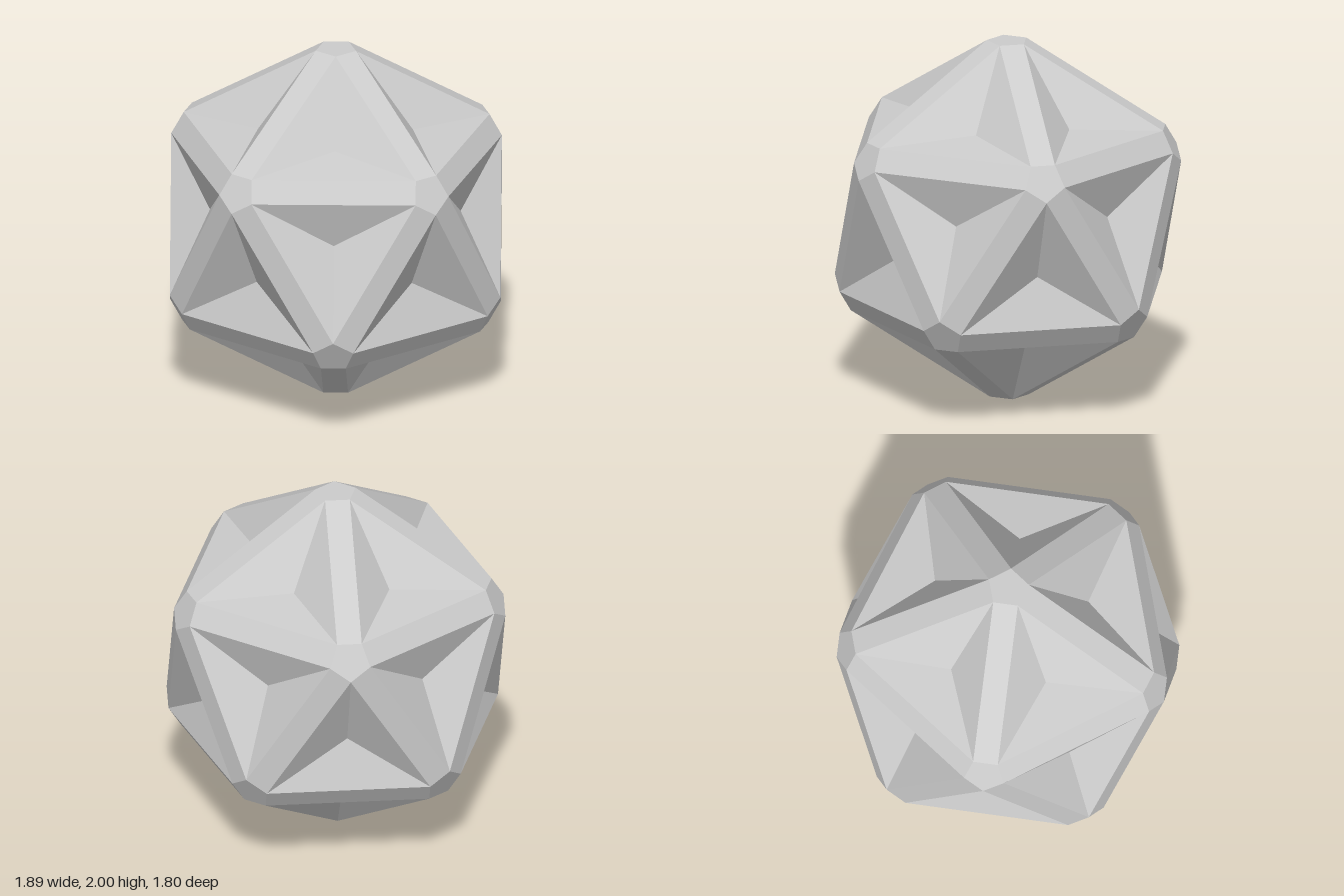
import * as THREE from 'three';

const CAP = 0.115;  // circumradius of the pentagonal corner caps
const PIT = 0.73;   // distance of each pit's bottom from the centre

// Flat-shaded mesh from convex polygons, each wound to face away from the centre
function polyMesh(name, polygons) {
  const pts = [];
  for (const poly of polygons) {
    for (let i = 1; i < poly.length - 1; i++) {
      const [a, b, c] = [poly[0], poly[i], poly[i + 1]];
      const n = b.clone().sub(a).cross(c.clone().sub(a));
      const mid = a.clone().add(b).add(c);
      pts.push(...(n.dot(mid) > 0 ? [a, b, c] : [a, c, b]));
    }
  }
  const geo = new THREE.BufferGeometry().setFromPoints(pts);
  geo.computeVertexNormals();
  const mesh = new THREE.Mesh(geo, new THREE.MeshStandardMaterial({ color: 0xcccccc, flatShading: true }));
  mesh.name = name;
  mesh.position.y = 1;
  return mesh;
}

export function createModel() {
  // Icosahedron corners: top, bottom, upper ring (2-6), lower ring (7-11)
  const ring = (y, turn) => Array.from({ length: 5 }, (_, i) => {
    const a = (i + turn) * Math.PI * 0.4, r = Math.sqrt(1 - y * y);
    return new THREE.Vector3(r * Math.cos(a), y, r * Math.sin(a));
  });
  const h = 1 / Math.sqrt(5);
  const verts = [new THREE.Vector3(0, 1, 0), new THREE.Vector3(0, -1, 0), ...ring(h, 0), ...ring(-h, 0.5)];
  const faces = [];
  for (let i = 0; i < 5; i++) {
    const j = (i + 1) % 5;
    faces.push([0, 2 + i, 2 + j], [2 + i, 2 + j, 7 + i], [7 + i, 7 + j, 2 + j], [1, 7 + i, 7 + j]);
  }

  const pits = [], strips = [], caps = [], edges = new Map();
  for (const face of faces) {
    const dir = new THREE.Vector3();
    face.forEach(k => dir.add(verts[k]));
    dir.normalize();
    // Pit corners lie on the cap planes, shifted toward the face centre
    const corners = face.map(k => verts[k].clone().addScaledVector(
      dir.clone().projectOnPlane(verts[k]).normalize(), CAP));
    const bottom = dir.clone().multiplyScalar(PIT);
    for (let e = 0; e < 3; e++) {
      const f = (e + 1) % 3;
      pits.push([corners[e], corners[f], bottom]);
      // Pair up the two faces that share this edge
      const [p, q] = face[e] < face[f] ? [e, f] : [f, e];
      const key = face[p] + '-' + face[q];
      const other = edges.get(key);
      if (!other) { edges.set(key, [corners[p], corners[q]]); continue; }
      strips.push([corners[p], corners[q], other[1], other[0]]);
      caps.push([verts[face[p]], corners[p], other[0]], [verts[face[q]], corners[q], other[1]]);
    }
  }

  const group = new THREE.Group();
  group.name = 'dimpledIcosahedron';
  group.add(polyMesh('facePits', pits), polyMesh('edgeStrips', strips), polyMesh('cornerCaps', caps));
  return group;
}
